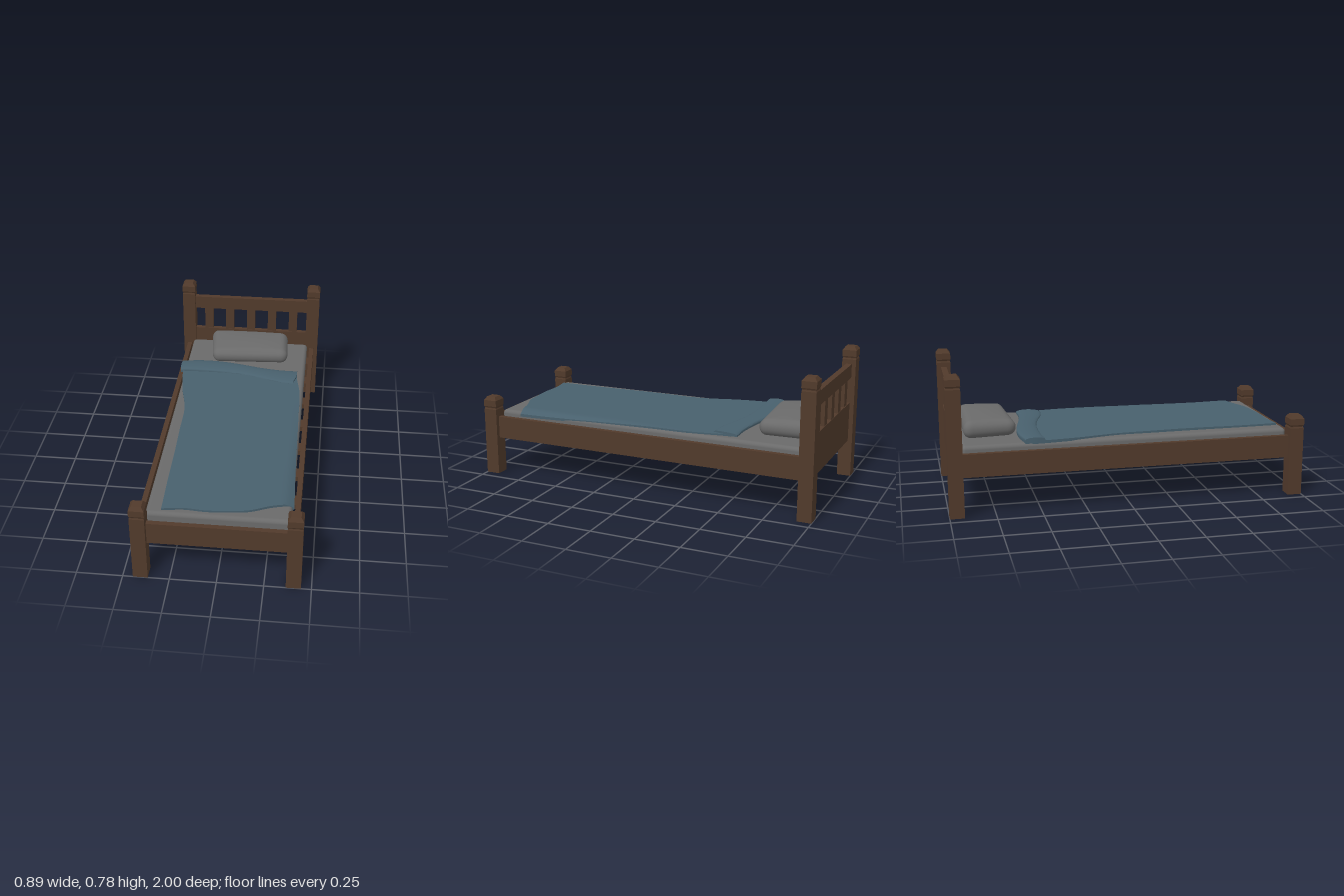
import * as THREE from 'three';
import { mergeVertices, toCreasedNormals } from 'three/addons/utils/BufferGeometryUtils.js';
import { RoundedBoxGeometry } from 'three/addons/geometries/RoundedBoxGeometry.js';

const wood = new THREE.MeshStandardMaterial({ name: 'dark wood', color: 0x513a2b });
const linen = new THREE.MeshStandardMaterial({ name: 'grey linen', color: 0x6a6a6a });
const wool = new THREE.MeshStandardMaterial({ name: 'blue wool', color: 0x48606d });
const { lerp, smoothstep } = THREE.MathUtils;

// Box given by its limits on each axis
function box(name, [x0, x1], [y0, y1], [z0, z1]) {
  const mesh = new THREE.Mesh(new THREE.BoxGeometry(x1 - x0, y1 - y0, z1 - z0), wood);
  mesh.position.set((x0 + x1) / 2, (y0 + y1) / 2, (z0 + z1) / 2);
  mesh.name = name;
  return mesh;
}

// Square post with a grooved neck and a bevelled cap
function post(name, height, x, z) {
  const profile = [
    [0, 0], [0.04, 0], [0.04, height - 0.074], [0.037, height - 0.067], [0.037, height - 0.064],
    [0.041, height - 0.056], [0.041, height - 0.02], [0.026, height], [0, height],
  ].map(([r, y]) => new THREE.Vector2(r * Math.SQRT2, y));
  const geo = new THREE.LatheGeometry(profile, 4, Math.PI / 4).toNonIndexed();
  geo.computeVertexNormals();
  const mesh = new THREE.Mesh(geo, wood);
  mesh.position.set(x, 0, z);
  mesh.name = name;
  return mesh;
}

// Finely divided unit box, its vertices moved by a rule, then smoothed
function moulded(name, segments, rule, material, crease) {
  let geo = new THREE.BoxGeometry(2, 2, 2, ...segments);
  geo.deleteAttribute('normal');
  geo.deleteAttribute('uv');
  geo = mergeVertices(geo);
  const pos = geo.attributes.position;
  const v = new THREE.Vector3();
  for (let i = 0; i < pos.count; i++) {
    v.fromBufferAttribute(pos, i);
    rule(v);
    pos.setXYZ(i, v.x, v.y, v.z);
  }
  geo.computeVertexNormals();
  const mesh = new THREE.Mesh(crease ? toCreasedNormals(geo, crease) : geo, material);
  mesh.name = name;
  return mesh;
}

// Smooth curve through evenly spaced values, t from 0 to 1
function through(values) {
  const curve = new THREE.SplineCurve(values.map((y, i) => new THREE.Vector2(i, y)));
  return (t) => curve.getPoint(t).y;
}

// Cloth between four curved edges, with height rules for its two faces
function cloth(name, edges, top, bottom) {
  const [left, right, back, front] = edges.map(through);
  return moulded(name, [28, 2, 40], (v) => {
    const u = (v.x + 1) / 2, w = (v.z + 1) / 2, h = (v.y + 1) / 2;
    const x = lerp(left(w), right(w), u);
    const z = lerp(back(u), front(u), w);
    v.set(x, lerp(bottom(x, z, u, w), top(x, z, u, w), h), z);
  }, wool, 0.7);
}

export function createModel() {
  const bed = new THREE.Group();
  bed.name = 'bed';

  // Posts and side rails, mirrored
  for (const side of [-1, 1]) {
    const label = side > 0 ? 'left' : 'right';
    bed.add(post(label + 'HeadPost', 0.776, side * 0.405, -0.96));
    bed.add(post(label + 'FootPost', 0.465, side * 0.405, 0.96));
    const rail = box(label + 'SideRail', [-0.014, 0.014], [0.217, 0.345], [-0.93, 0.93]);
    rail.position.x = side * 0.406;
    bed.add(rail);
  }

  // Footboard and headboard
  bed.add(box('footboard', [-0.37, 0.37], [0.217, 0.345], [0.943, 0.971]));
  const headboard = new THREE.Group();
  headboard.name = 'headboard';
  headboard.add(box('headPanel', [-0.37, 0.37], [0.217, 0.447], [-0.975, -0.945]));
  headboard.add(box('headRail', [-0.37, 0.37], [0.595, 0.676], [-0.977, -0.943]));
  for (let i = -2; i <= 2; i++) {
    const x = i * 0.1385;
    headboard.add(box('headSpindle', [x - 0.027, x + 0.027], [0.44, 0.6], [-0.972, -0.948]));
  }
  bed.add(headboard);

  // Slats under the mattress
  for (let i = 0; i < 8; i++) {
    const z = -0.865 + i * 0.247;
    bed.add(box('slat', [-0.395, 0.395], [0.25, 0.28], [z - 0.04, z + 0.04]));
  }

  // Mattress
  const mattress = new THREE.Mesh(new RoundedBoxGeometry(0.756, 0.098, 1.84, 5, 0.022), linen);
  mattress.position.y = 0.329;
  mattress.name = 'mattress';
  bed.add(mattress);

  // Pillow: rounded block, skewed in plan, plumper in the middle and towards the headboard
  bed.add(moulded('pillow', [44, 14, 28], (v) => {
    const { x: a, z: c } = v;
    const half = new THREE.Vector3(0.252, 0.047, 0.144);
    const r = 0.045;
    const inner = half.clone().subScalar(r);
    v.multiply(half);
    const core = v.clone().clamp(inner.clone().negate(), inner);
    v.sub(core).setLength(r).add(core);
    const u = (v.x / half.x + 1) / 2, w = (v.z / half.z + 1) / 2;
    if (v.y > 0) v.y = v.y * (1 - 0.1 * c) + 0.013 * (1 - a * a) * (1 - c * c);
    v.x = lerp(lerp(-0.248, -0.212, w), lerp(0.25, 0.262, w), u);
    v.z = lerp(-0.898, lerp(-0.602, -0.632, u), w);
    v.y += 0.425;
  }, linen));

  // Blanket, its left edge sagging over the mattress
  const sag = (x, z) => 0.022 * smoothstep(x, 0.34, 0.39) * smoothstep(z, -0.4, 0.7);
  const ripple = (x, z) => 0.0025 * Math.sin(7 * x + 3 * z) * Math.cos(5 * z - 4 * x);
  bed.add(cloth('blanket', [
    [-0.39, -0.365, -0.315, -0.308, -0.302, -0.3, -0.295],
    [0.33, 0.36, 0.365, 0.37, 0.374, 0.38, 0.387],
    [-0.54, -0.54, -0.52, -0.5],
    [0.893, 0.878, 0.885, 0.878, 0.862, 0.815, 0.79],
  ], (x, z) => 0.389 + ripple(x, z) - sag(x, z), (x, z) => 0.374 - sag(x, z)));

  // Turned-down fold across the top of the blanket
  bed.add(cloth('blanketFold', [
    [-0.398, -0.402, -0.4],
    [0.332, 0.33, 0.312],
    [-0.58, -0.598, -0.598, -0.58, -0.555, -0.54, -0.54],
    [-0.472, -0.478, -0.478, -0.47, -0.445, -0.41, -0.395],
  ], (x, z, u, w) => 0.4 - 0.013 * u + 0.013 * Math.sqrt(Math.max(0, 1 - (2 * w - 1) ** 2)),
  () => 0.38));

  return bed;
}
